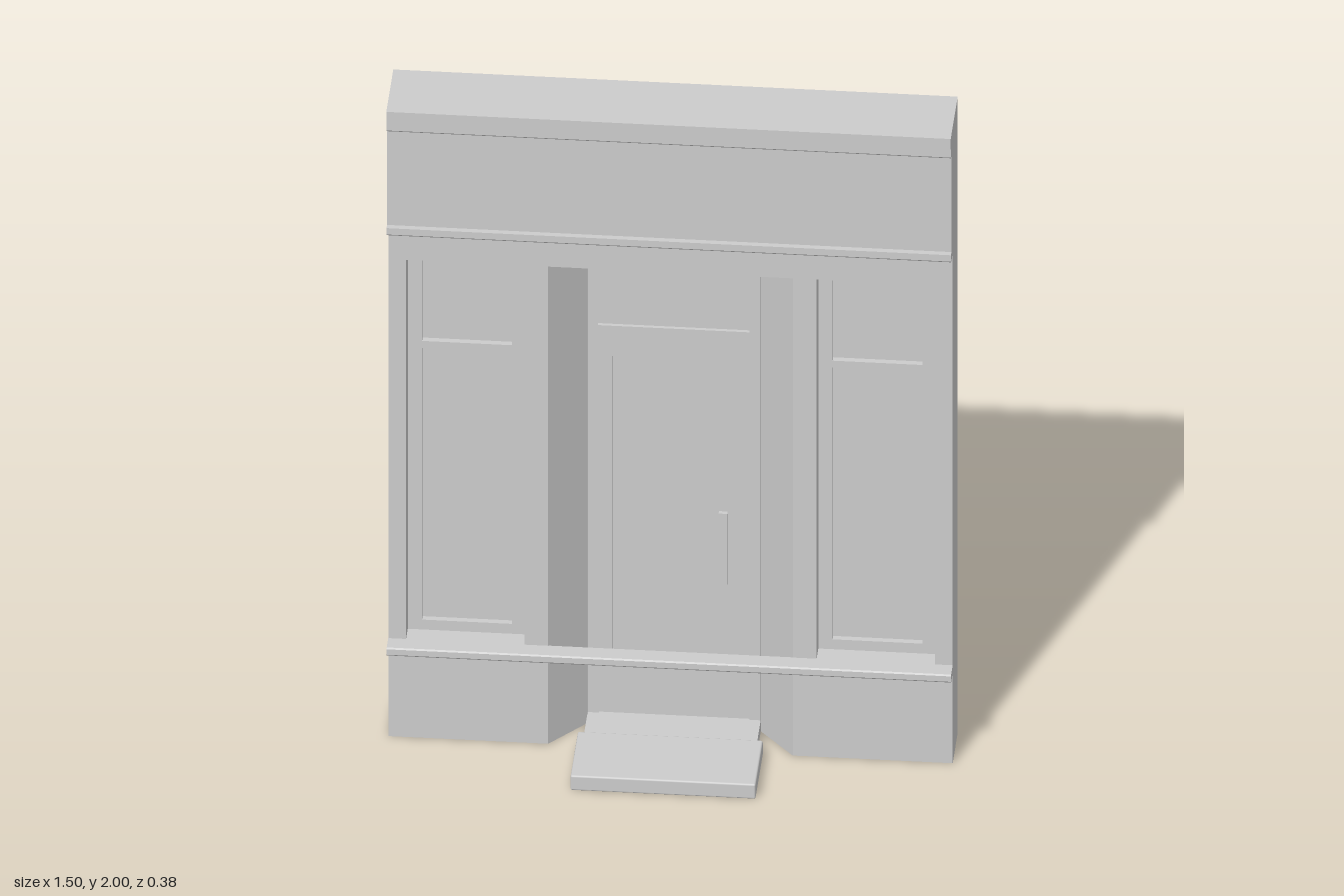
import * as THREE from 'three';
import { RoundedBoxGeometry } from 'three/addons/geometries/RoundedBoxGeometry.js';

export function createModel() {
  const model = new THREE.Group();
  model.name = 'shopfront';
  const plaster = new THREE.MeshStandardMaterial({ color: 0xcccccc });
  plaster.name = 'plaster grey';

  const add = (name, geometry, parent = model) => {
    const mesh = new THREE.Mesh(geometry, plaster);
    mesh.name = name;
    parent.add(mesh);
    return mesh;
  };
  const box = (name, x0, x1, y0, y1, z0, z1, parent) => {
    const g = new THREE.BoxGeometry(x1 - x0, y1 - y0, z1 - z0);
    g.translate((x0 + x1) / 2, (y0 + y1) / 2, (z0 + z1) / 2);
    return add(name, g, parent);
  };
  const points = (list) => list.map(([x, y]) => new THREE.Vector2(x, y));
  const rect = (x0, x1, y0, y1) => points([[x0, y0], [x1, y0], [x1, y1], [x0, y1]]);
  // Upright plate with openings, from z0 to z1
  const plate = (name, outline, holes, z0, z1, parent) => {
    const shape = new THREE.Shape(outline);
    for (const h of holes) shape.holes.push(new THREE.Path(h));
    const g = new THREE.ExtrudeGeometry(shape, { depth: z1 - z0, bevelEnabled: false });
    g.translate(0, 0, z0);
    return add(name, g, parent);
  };
  // Moulding with a (z, y) profile running the full width
  const moulding = (name, profile) => {
    const shape = new THREE.Shape(points(profile.map(([z, y]) => [-z, y])));
    const g = new THREE.ExtrudeGeometry(shape, { depth: 1.5, bevelEnabled: false });
    g.rotateY(Math.PI / 2);
    g.translate(-0.75, 0, 0);
    return add(name, g);
  };

  // Main wall with doorway and two window openings
  plate('wall', points([
    [-0.75, 0], [-0.325, 0], [-0.325, 1.5], [0.325, 1.5], [0.325, 0],
    [0.75, 0], [0.75, 2], [-0.75, 2],
  ]), [rect(-0.703, -0.388, 0.305, 1.5), rect(0.388, 0.703, 0.305, 1.5)], -0.183, -0.033);

  // Fascia, cornice and bands
  box('fascia', -0.75, 0.75, 1.603, 2, -0.033, 0.003);
  moulding('cornice', [
    [0.003, 1.933], [0.016, 1.933], [0.019, 1.937], [0.019, 1.963],
    [0.026, 1.967], [0.026, 2], [0.003, 2],
  ]);
  moulding('lowerMoulding', [
    [0.003, 1.603], [0.016, 1.606], [0.019, 1.61], [0.019, 1.63], [0.003, 1.63],
  ]);
  moulding('sillBand', [
    [-0.034, 0.283], [0.013, 0.283], [0.016, 0.287], [0.016, 0.304], [0.013, 0.308], [-0.034, 0.308],
  ]);

  // Windows
  for (const s of [-1, 1]) {
    const win = new THREE.Group();
    win.name = s < 0 ? 'rightWindow' : 'leftWindow';
    model.add(win);
    const span = (a, b) => (s > 0 ? [a, b] : [-b, -a]);
    const outer = span(0.388, 0.703);
    const pane = span(0.426, 0.665);
    plate('windowFrame', rect(...outer, 0.305, 1.5),
      [rect(...pane, 0.336, 1.19), rect(...pane, 1.212, 1.473)], -0.105, -0.088, win);
    box('windowPane', ...outer, 0.305, 1.5, -0.127, -0.105, win);
  }

  // Splayed panels on both sides of the doorway
  for (const s of [-1, 1]) {
    const splay = (name, y0, y1, zBack) => {
      const list = [[0.325, -0.033], [0.231, -0.143], [0.229, zBack], [0.235, zBack], [0.325, -0.042]];
      const shape = new THREE.Shape(points(list.map(([x, z]) => [s * x, -z])));
      const g = new THREE.ExtrudeGeometry(shape, { depth: y1 - y0, bevelEnabled: false });
      g.rotateX(-Math.PI / 2);
      g.translate(0, y0, 0);
      add(name, g);
    };
    splay('splayBase', 0, 0.305, -0.183);
    splay('splayPanel', 0.305, 1.5, -0.19);
  }

  // Door surround with transom
  plate('doorFrame', rect(-0.23, 0.23, 0, 1.5),
    [rect(-0.2, 0.2, 0.02, 1.228), rect(-0.203, 0.2, 1.253, 1.475)], -0.183, -0.143);
  box('transomPane', -0.203, 0.2, 1.253, 1.475, -0.183, -0.153);

  // Door leaf, pane and handle
  const door = new THREE.Group();
  door.name = 'door';
  model.add(door);
  plate('doorLeaf', rect(-0.2, 0.2, 0.02, 1.228), [rect(-0.165, 0.16, 0.2, 1.155)], -0.173, -0.148, door);
  box('doorPane', -0.165, 0.16, 0.2, 1.155, -0.165, -0.16, door);
  box('doorHandle', 0.121, 0.144, 0.478, 0.7, -0.122, -0.11, door);
  for (const y of [0.51, 0.65]) box('handleMount', 0.126, 0.139, y, y + 0.018, -0.16, -0.122, door);

  // Threshold and front step
  box('threshold', -0.23, 0.23, 0, 0.035, -0.15, -0.03);
  const step = add('frontStep', new RoundedBoxGeometry(0.492, 0.046, 0.22, 2, 0.005));
  step.position.set(0, 0.023, 0.08);

  return model;
}
